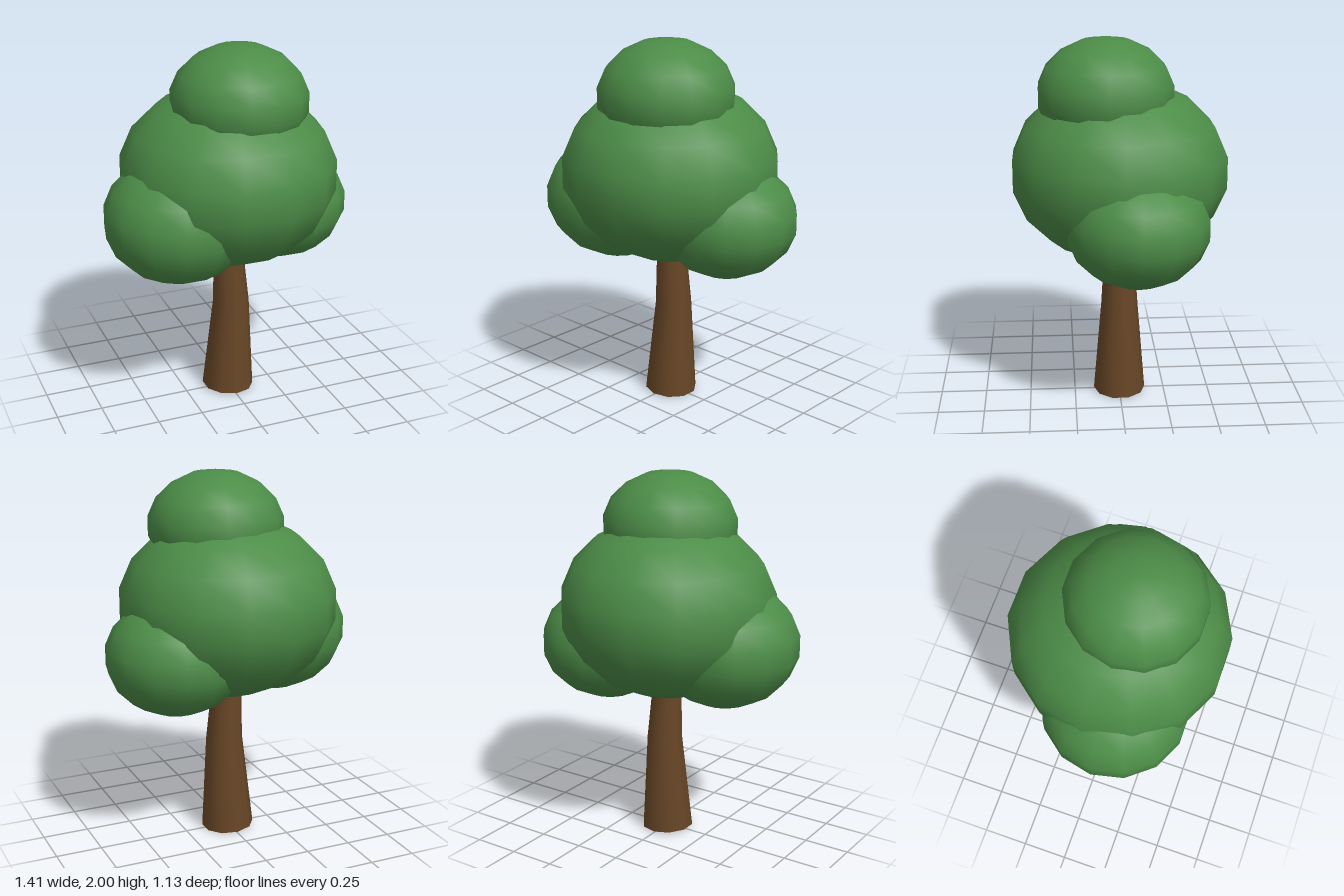
import * as THREE from 'three';

const leafGreen = new THREE.MeshStandardMaterial({ color: 0x4c8c47 });
leafGreen.name = 'leaf green';
const barkBrown = new THREE.MeshStandardMaterial({ color: 0x6a4827 });
barkBrown.name = 'bark brown';

// A squashed, coarse ball of leaves with smooth shading
function leafBall(name, radius, height, x, y, z) {
  const geometry = new THREE.SphereGeometry(1, 14, 9);
  geometry.scale(radius, height, radius);
  const mesh = new THREE.Mesh(geometry, leafGreen);
  mesh.name = name;
  mesh.position.set(x, y, z);
  return mesh;
}

// Ten-sided trunk whose rings follow a slight bend and taper
function makeTrunk() {
  // Rings from top to bottom: centre x, centre y, radius, tilt
  const rings = [
    [-0.005, 1.0, 0.072, 0],
    [0.007, 0.8, 0.083, 0],
    [0.02, 0.53, 0.1, -0.05],
    [0, 0.008, 0.143, -0.055],
  ];
  const geometry = new THREE.CylinderGeometry(1, 1, 3, 10, 3);
  const pos = geometry.attributes.position;
  for (let i = 0; i < pos.count; i++) {
    const [cx, cy, r, tilt] = rings[Math.round(1.5 - pos.getY(i))];
    const dx = pos.getX(i) * r;
    pos.setXYZ(i, cx + dx, cy + dx * tilt, pos.getZ(i) * r);
  }
  const mesh = new THREE.Mesh(geometry, barkBrown);
  mesh.name = 'trunk';
  return mesh;
}

export function createModel() {
  const tree = new THREE.Group();
  tree.name = 'tree';

  const crown = new THREE.Group();
  crown.name = 'crown';
  crown.add(
    leafBall('mainFoliage', 0.588, 0.488, 0, 1.287, 0),
    leafBall('topFoliage', 0.366, 0.3, 0.035, 1.7, 0.072),
    leafBall('rightFoliage', 0.401, 0.342, -0.31, 1.107, 0.085),
    leafBall('leftFoliage', 0.377, 0.313, 0.33, 1.062, -0.078),
  );

  tree.add(makeTrunk(), crown);
  return tree;
}
